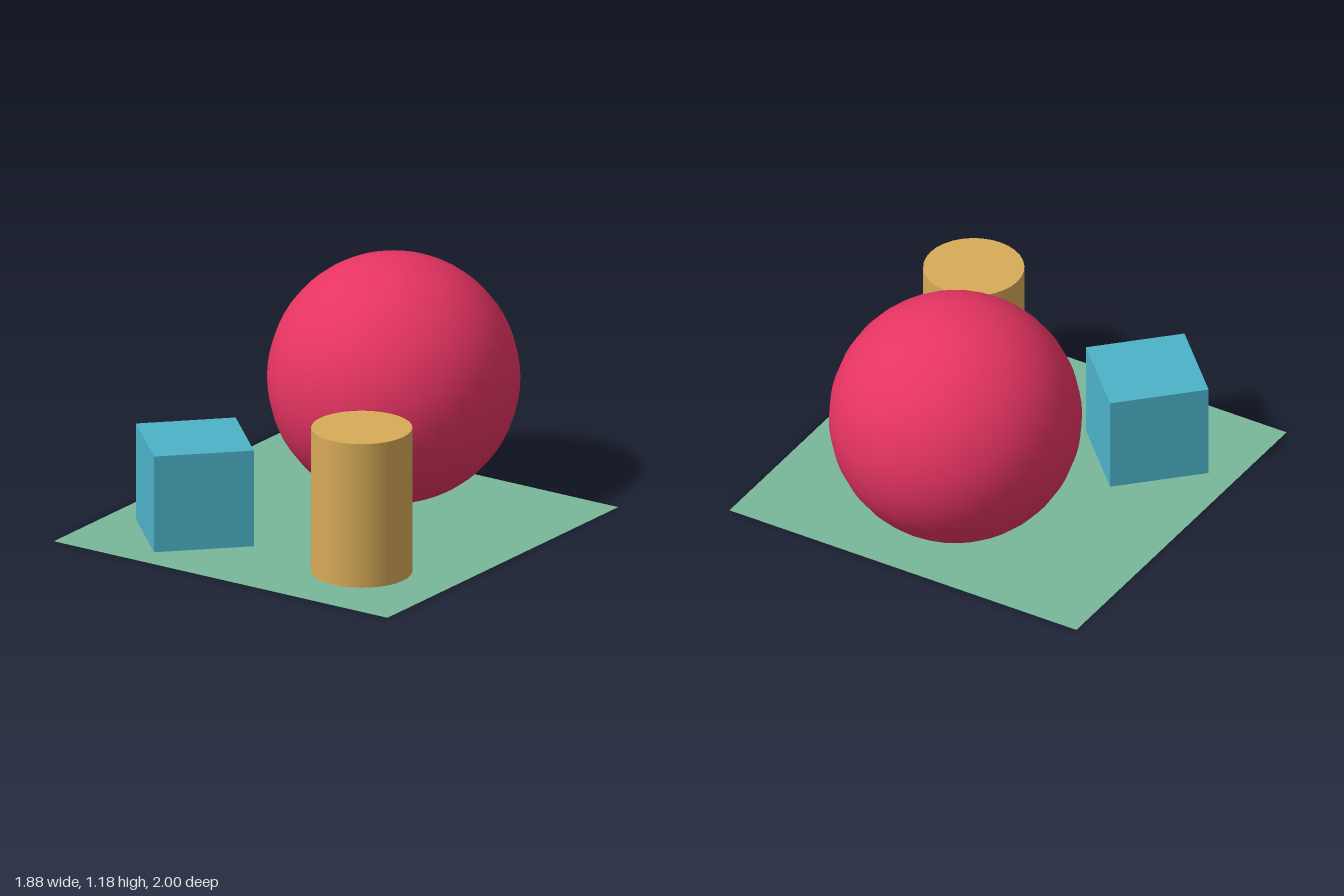
import * as THREE from 'three';

// One layout unit: the whole arrangement is 8.5 units deep
const U = 2 / 8.5;

function material(name, color, side = THREE.FrontSide) {
  const m = new THREE.MeshStandardMaterial({ color, side });
  m.name = name;
  return m;
}

export function createModel() {
  const model = new THREE.Group();
  model.name = 'primitiveShapes';

  // Shift so the arrangement is centred front to back
  const zMid = 0.25 * U;

  function add(name, geometry, mat, x, y, z) {
    const mesh = new THREE.Mesh(geometry, mat);
    mesh.name = name;
    mesh.position.set(x * U, y * U, z * U + zMid);
    model.add(mesh);
    return mesh;
  }

  // Thin square floor, visible from both sides
  const floor = new THREE.PlaneGeometry(8 * U, 8 * U).rotateX(-Math.PI / 2);
  add('floor', floor, material('sage green', 0x78b89b, THREE.DoubleSide), 0, 0, 0);

  // Large ball at the back, resting on the floor
  add('ball', new THREE.SphereGeometry(2.5 * U, 32, 32), material('crimson', 0xe63462), 0, 2.5, -2);

  // Cube turned on its corner
  const cube = add('cube', new THREE.BoxGeometry(2 * U, 2 * U, 2 * U), material('teal blue', 0x4db3c9), -2, 1, 2);
  cube.rotation.y = Math.PI / 4;

  // Upright cylinder
  add('cylinder', new THREE.CylinderGeometry(U, U, 3 * U, 32), material('ochre', 0xd8ab58), 2, 1.5, 2);

  return model;
}
